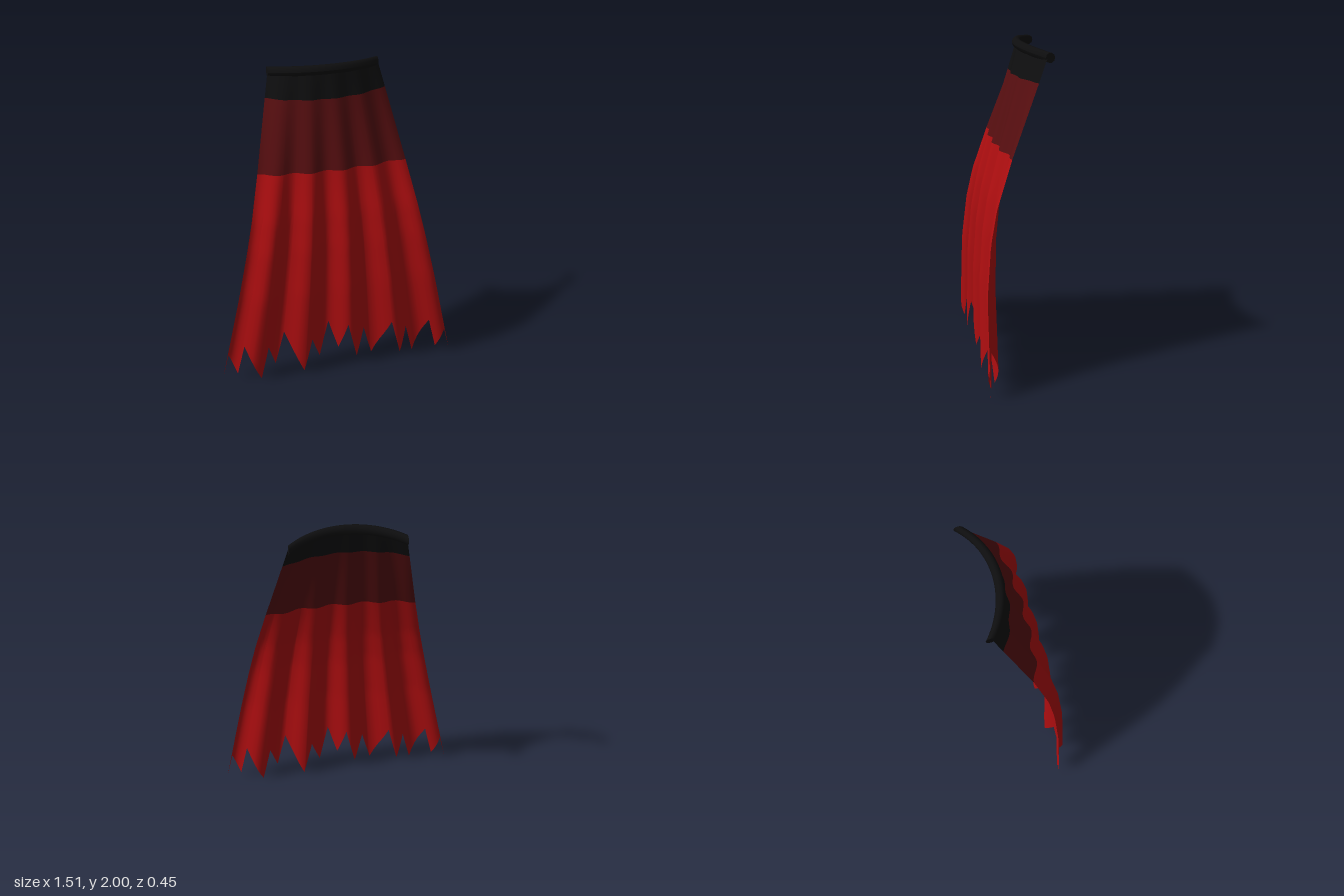
import * as THREE from 'three';

const mat = (name, color, side = THREE.DoubleSide) => {
  const m = new THREE.MeshStandardMaterial({ color, side });
  m.name = name;
  return m;
};

// Height, depth of the centre line, backward curl at the sides, pleat depth
const PROFILE = [
  [0.0, 0.18, 0.0, 0.043], [0.6, 0.18, 0.0, 0.038], [0.9, 0.165, 0.01, 0.031],
  [1.1, 0.14, 0.022, 0.024], [1.38, 0.08, 0.052, 0.014], [1.8, -0.03, 0.105, 0.006], [2.0, -0.08, 0.13, 0.002],
];
// Ragged hem, from the centre to one side: x, y
const TEETH = [
  [0, 0.14], [0.057, 0.33], [0.117, 0.07], [0.178, 0.245], [0.238, 0.025], [0.35, 0.3], [0.41, 0.055],
  [0.46, 0.22], [0.517, 0], [0.615, 0.25], [0.664, 0.04], [0.715, 0.18], [0.755, 0.02],
];

const halfWidth = (y) => 0.755 - 0.215 * y;
const curl = (u) => (1 - Math.sqrt(1 - 0.42 * u * u)) / (1 - Math.sqrt(0.58));

function profileAt(y) {
  let i = 0;
  while (i < PROFILE.length - 2 && y > PROFILE[i + 1][0]) i++;
  const a = PROFILE[i], b = PROFILE[i + 1];
  const t = (y - a[0]) / (b[0] - a[0]);
  return a.map((v, k) => v + (b[k] - v) * t);
}

// A point of the cloth at side fraction u (-1..1) and height y
function clothPoint(u, y) {
  const [, z, sag, depth] = profileAt(y);
  const pleat = Math.cos((2 * Math.PI * (0.755 * u - 0.08)) / 0.325);
  return [u * halfWidth(y), y, z - sag * curl(u) + depth * pleat];
}

// Grid of points (rows of equal length) turned into a smooth surface
function gridGeometry(rows) {
  const n = rows[0].length, index = [];
  for (let r = 0; r < rows.length - 1; r++) {
    for (let c = 0; c < n - 1; c++) {
      const a = r * n + c;
      index.push(a, a + n, a + 1, a + 1, a + n, a + n + 1);
    }
  }
  const g = new THREE.BufferGeometry();
  g.setAttribute('position', new THREE.Float32BufferAttribute(rows.flat(2), 3));
  g.setIndex(index);
  g.computeVertexNormals();
  return g;
}

// Columns follow the hem corners, with steps between them
function hemColumns() {
  const half = TEETH.map(([x, y]) => [x / halfWidth(y), y]);
  const all = [...half.slice(1).reverse().map(([u, y]) => [-u, y]), ...half];
  const cols = [];
  const steps = 5;
  for (let i = 0; i < all.length - 1; i++) {
    for (let s = 0; s < steps; s++) {
      const t = s / steps;
      cols.push(all[i].map((v, k) => v + (all[i + 1][k] - v) * t));
    }
  }
  cols.push(all[all.length - 1]);
  return cols;
}

export function createModel() {
  const group = new THREE.Group();
  group.name = 'cape';
  const black = mat('black', 0x0e0e0f);
  const maroon = mat('dark red', 0x560e10);
  const red = mat('red', 0xae0e10);
  const add = (name, geometry, material) => {
    const mesh = new THREE.Mesh(geometry, material);
    mesh.name = name;
    group.add(mesh);
  };

  // Three cloth bands, each between an upper and a lower edge
  const cols = hemColumns();
  const band = (top, bottom, count) => {
    const rows = [];
    for (let r = 0; r <= count; r++) {
      rows.push(cols.map(([u, hem]) => clothPoint(u, top(u) + (bottom(u, hem) - top(u)) * (r / count))));
    }
    return gridGeometry(rows);
  };
  add('shoulderBand', band((u) => 1.97 - 0.035 * curl(u), () => 1.8, 4), black);
  add('upperCloth', band(() => 1.8, () => 1.38, 8), maroon);
  add('lowerCloth', band(() => 1.38, (u, hem) => hem, 24), red);

  // Collar roll, swept sideways with flat ends
  const sides = 10, rings = [];
  for (let i = 0; i <= 28; i++) {
    const u = -1 + i / 14;
    const ring = [];
    for (let k = 0; k <= sides; k++) {
      const a = (k / sides) * Math.PI * 2;
      ring.push([0.34 * u, 1.97 - 0.03 * curl(u) + 0.03 * Math.sin(a), -0.073 - 0.13 * curl(u) + 0.027 * Math.cos(a)]);
    }
    rings.push(ring);
  }
  add('collar', gridGeometry(rings), black);
  for (const s of [-1, 1]) {
    const cap = new THREE.CircleGeometry(1, sides);
    cap.scale(0.027, 0.03, 1).rotateY((s * Math.PI) / 2).translate(s * 0.34, 1.94, -0.203);
    add(s > 0 ? 'collarEndLeft' : 'collarEndRight', cap, black);
  }
  return group;
}
